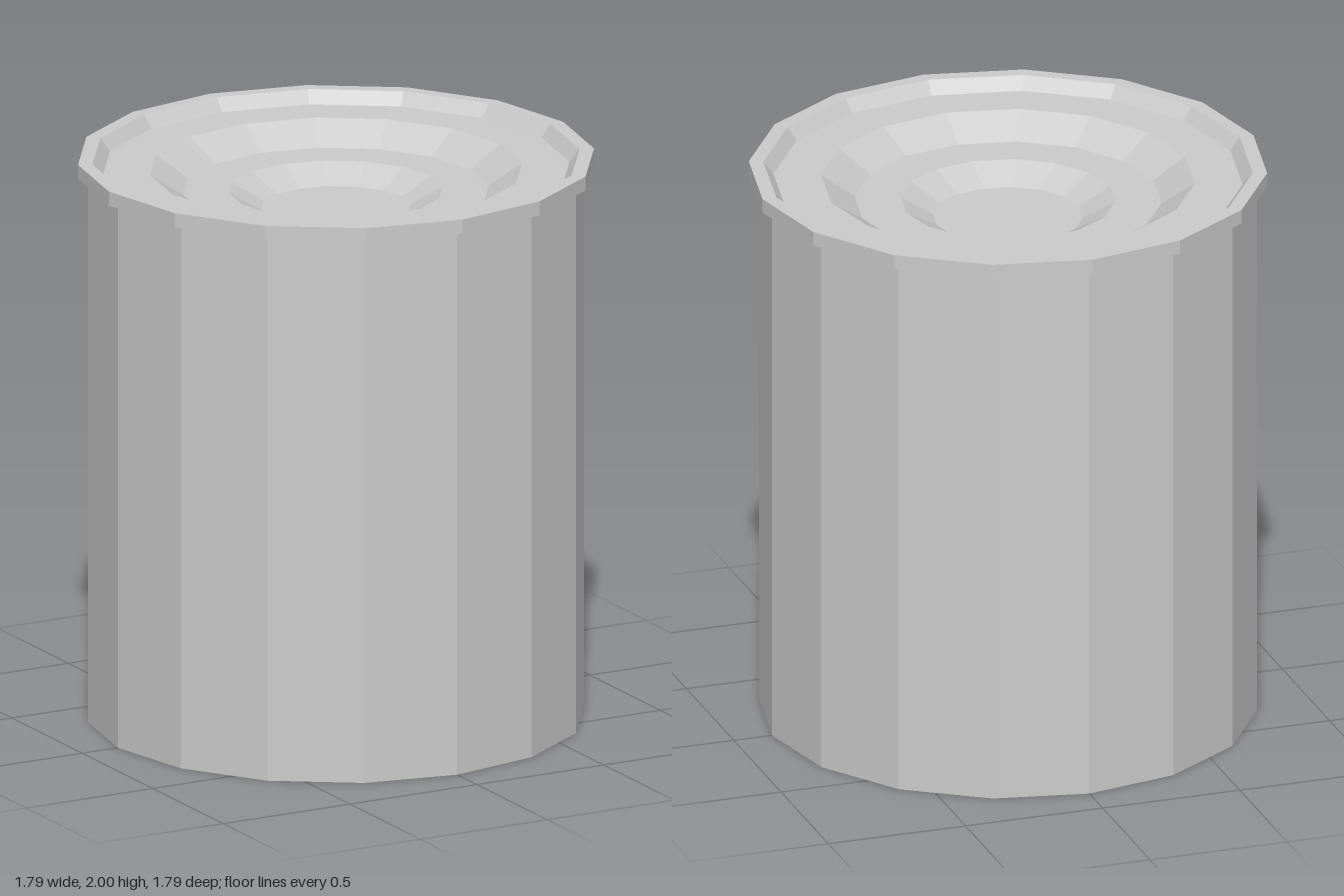
import * as THREE from 'three';

const SIDES = 16;

export function createModel() {
  const group = new THREE.Group();
  const material = new THREE.MeshStandardMaterial({ color: 0xcccccc, flatShading: true });

  // Turns a profile of [radius, height] points into a faceted part
  const addTurned = (name, profile) => {
    const points = profile.map(([r, y]) => new THREE.Vector2(r, y));
    const mesh = new THREE.Mesh(new THREE.LatheGeometry(points, SIDES), material);
    mesh.name = name;
    group.add(mesh);
  };

  // Straight drum with a flat bottom
  addTurned('body', [[0, 0], [0.86, 0], [0.86, 1.95]]);

  // Overhanging rim with a sloped inner wall
  addTurned('rim', [[0.86, 1.95], [0.895, 1.95], [0.895, 2], [0.845, 2], [0.81, 1.955]]);

  // Lid stepping down in two rings to a flat centre
  addTurned('steppedLid', [
    [0.81, 1.955], [0.645, 1.955],
    [0.53, 1.88], [0.37, 1.88],
    [0.26, 1.82], [0, 1.82],
  ]);

  return group;
}
